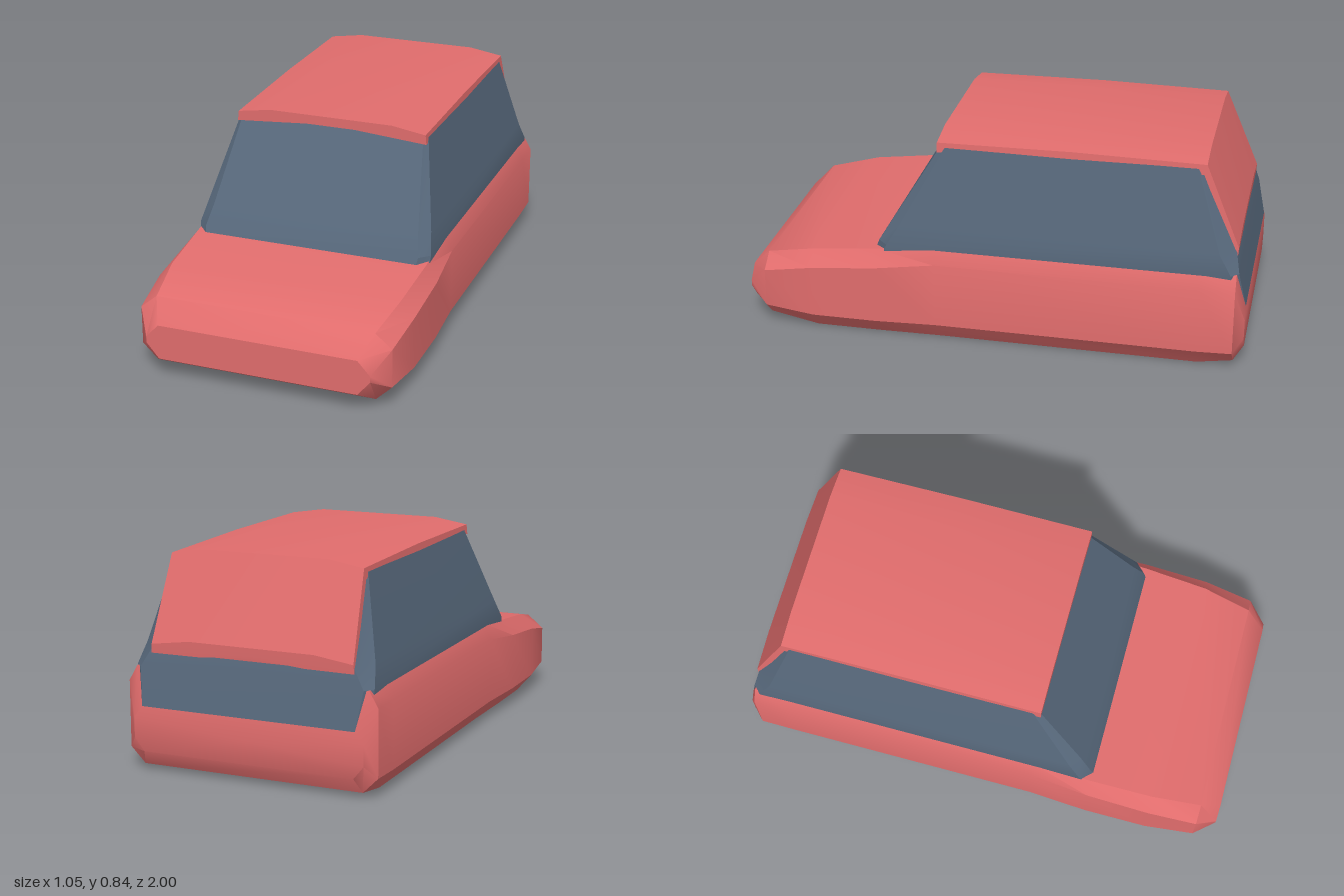
import * as THREE from 'three';
import { toCreasedNormals } from 'three/addons/utils/BufferGeometryUtils.js';

// Closed skin over rings of points; rings turn anticlockwise about the loft direction.
function loft(rings, crease) {
  const n = rings[0].length, pos = [];
  const tri = (...pts) => pts.forEach((p) => pos.push(...p));
  for (let i = 0; i < rings.length - 1; i++) {
    const a = rings[i], b = rings[i + 1];
    for (let j = 0; j < n; j++) {
      const k = (j + 1) % n;
      tri(a[j], a[k], b[k]);
      tri(a[j], b[k], b[j]);
    }
  }
  const centre = (r) => [0, 1, 2].map((c) => r.reduce((s, p) => s + p[c], 0) / n);
  const first = rings[0], last = rings[rings.length - 1];
  const c0 = centre(first), c1 = centre(last);
  for (let j = 0; j < n; j++) {
    const k = (j + 1) % n;
    tri(c0, first[k], first[j]);
    tri(c1, last[j], last[k]);
  }
  const g = new THREE.BufferGeometry();
  g.setAttribute('position', new THREE.Float32BufferAttribute(pos, 3));
  return toCreasedNormals(g, crease);
}

// Completes a +x half outline with its mirror image.
const mirrored = (half) => [...half, ...half.slice().reverse().map(([x, y, z]) => [-x, y, z])];

// Lower body: chamfered sections from tail to nose.
// z, bottom y, lower side y, upper side y, top y, bottom half width, side half width, top half width
const bodySections = [
  [-1.0, 0.08, 0.13, 0.21, 0.25, 0.43, 0.47, 0.44],
  [-0.96, 0.02, 0.08, 0.34, 0.4, 0.45, 0.51, 0.475],
  [-0.82, 0, 0.075, 0.34, 0.405, 0.455, 0.51, 0.48],
  [0.22, 0, 0.075, 0.34, 0.405, 0.455, 0.51, 0.48],
  [0.46, 0, 0.075, 0.31, 0.375, 0.46, 0.525, 0.48],
  [0.72, 0, 0.075, 0.285, 0.345, 0.46, 0.525, 0.47],
  [0.92, 0.03, 0.09, 0.245, 0.3, 0.445, 0.507, 0.44],
  [1.0, 0.08, 0.14, 0.165, 0.22, 0.4, 0.45, 0.4],
];

function bodyGeometry() {
  return loft(bodySections.map(([z, y0, yl, yh, y1, xb, xs, xt]) =>
    mirrored([[xb, y0, z], [xs, yl, z], [xs, yh, z], [xt, y1, z]])), 0.6);
}

// Glasshouse: level rings with cut corners.
// y, front z, back z, half width, front cut x, front cut z, back cut x, back cut z
const glassRings = [
  [0.255, 0.51, -0.999, 0.475, 0.05, 0.04, 0.04, 0.04],
  [0.4, 0.455, -0.968, 0.486, 0.04, 0.04, 0.03, 0.03],
  [0.48, 0.406, -0.95, 0.469, 0.04, 0.04, 0.06, 0.06],
  [0.795, 0.214, -0.82, 0.396, 0.015, 0.02, 0.02, 0.03],
];

function glassGeometry() {
  return loft(glassRings.map(([y, zf, zb, w, fx, fz, bx, bz]) =>
    mirrored([[w - fx, y, zf], [w, y, zf - fz], [w, y, zb + bz], [w - bx, y, zb]])), 0.35);
}

// Roof and tailgate: one cambered sheet bent down at the rear.
// z, y on the centre line, half width, then z and y steps through the thickness
const roofSections = [
  [-0.958, 0.51, 0.412, 0.003, -0.05],
  [-0.822, 0.835, 0.394, 0.01, -0.04],
  [-0.3, 0.842, 0.394, 0, -0.04],
  [0.226, 0.836, 0.394, 0, -0.038],
];

function roofGeometry() {
  return loft(roofSections.map(([z, y, w, dz, dy]) => mirrored([
    [0.255, y + dy, z + dz],
    [w + 0.004, y + dy - 0.023, z + dz],
    [w, y - 0.022, z],
    [0.255, y, z],
  ])), 0.35);
}

export function createModel() {
  const paint = new THREE.MeshStandardMaterial({ color: 0xe06c6c });
  paint.name = 'red paint';
  const glass = new THREE.MeshStandardMaterial({ color: 0x56677a });
  glass.name = 'blue grey glass';

  const model = new THREE.Group();
  model.name = 'car';
  const add = (name, geometry, material) => {
    const mesh = new THREE.Mesh(geometry, material);
    mesh.name = name;
    model.add(mesh);
  };
  add('lowerBody', bodyGeometry(), paint);
  add('windows', glassGeometry(), glass);
  add('roofAndTailgate', roofGeometry(), paint);
  return model;
}
